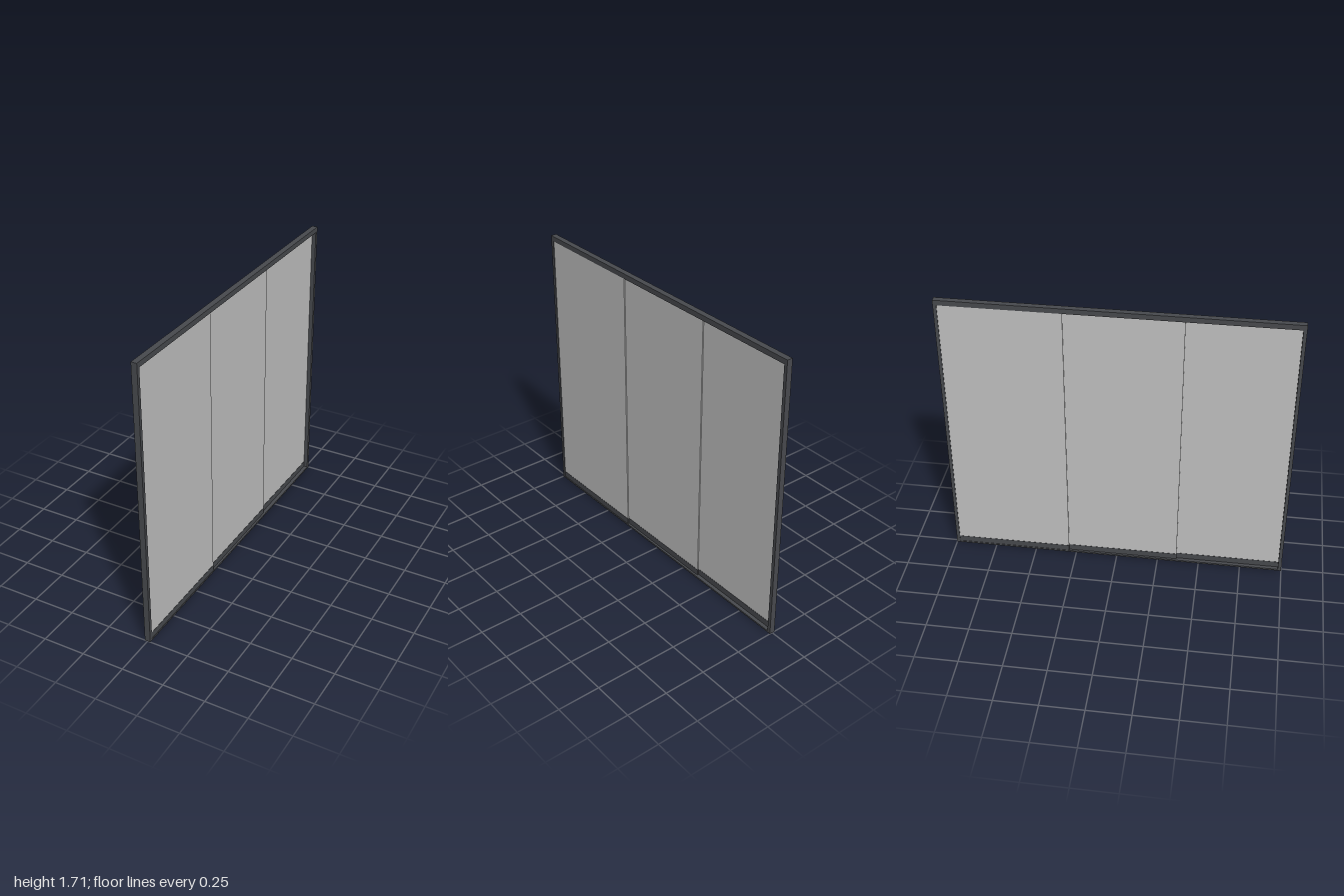
import * as THREE from 'three';

export function createModel() {
  const model = new THREE.Group();
  model.name = 'slidingGlassPartition';

  const frameMat = new THREE.MeshStandardMaterial({ color: 0x484a4e });
  frameMat.name = 'dark frame';
  const glassMat = new THREE.MeshStandardMaterial({ color: 0xc2c2c2 });
  glassMat.name = 'pale glass';

  // Box given by its minimum and maximum corners
  function box(name, mat, [x0, y0, z0], [x1, y1, z1], parent = model) {
    const mesh = new THREE.Mesh(new THREE.BoxGeometry(x1 - x0, y1 - y0, z1 - z0), mat);
    mesh.position.set((x0 + x1) / 2, (y0 + y1) / 2, (z0 + z1) / 2);
    mesh.name = name;
    parent.add(mesh);
  }

  const H = 1.705, D = 0.017, post = 0.02;
  const railBottom = 1.675, sill = 0.01, shoeTop = 0.048;

  // Outer frame
  box('topRail', frameMat, [-D, railBottom, -1], [D, H, 1]);
  box('bottomTrack', frameMat, [-D, 0, -1], [D, sill, 1]);
  box('leftPost', frameMat, [-D, sill, 1 - post], [D, railBottom, 1]);
  box('rightPost', frameMat, [-D, sill, -1], [D, railBottom, -1 + post]);

  // Three overlapping panes, each on its own track
  const panes = [
    { name: 'frontPanel', x: 0.01, z: [0.295, 1 - post] },
    { name: 'middlePanel', x: 0, z: [-0.365, 0.365] },
    { name: 'rearPanel', x: -0.01, z: [-1 + post, -0.295] },
  ];
  for (const { name, x, z } of panes) {
    const panel = new THREE.Group();
    panel.name = name;
    box('glass', glassMat, [x - 0.003, shoeTop, z[0]], [x + 0.003, railBottom, z[1]], panel);
    box('bottomShoe', frameMat, [x - 0.0045, sill, z[0]], [x + 0.0045, shoeTop, z[1]], panel);
    model.add(panel);
  }

  return model;
}
